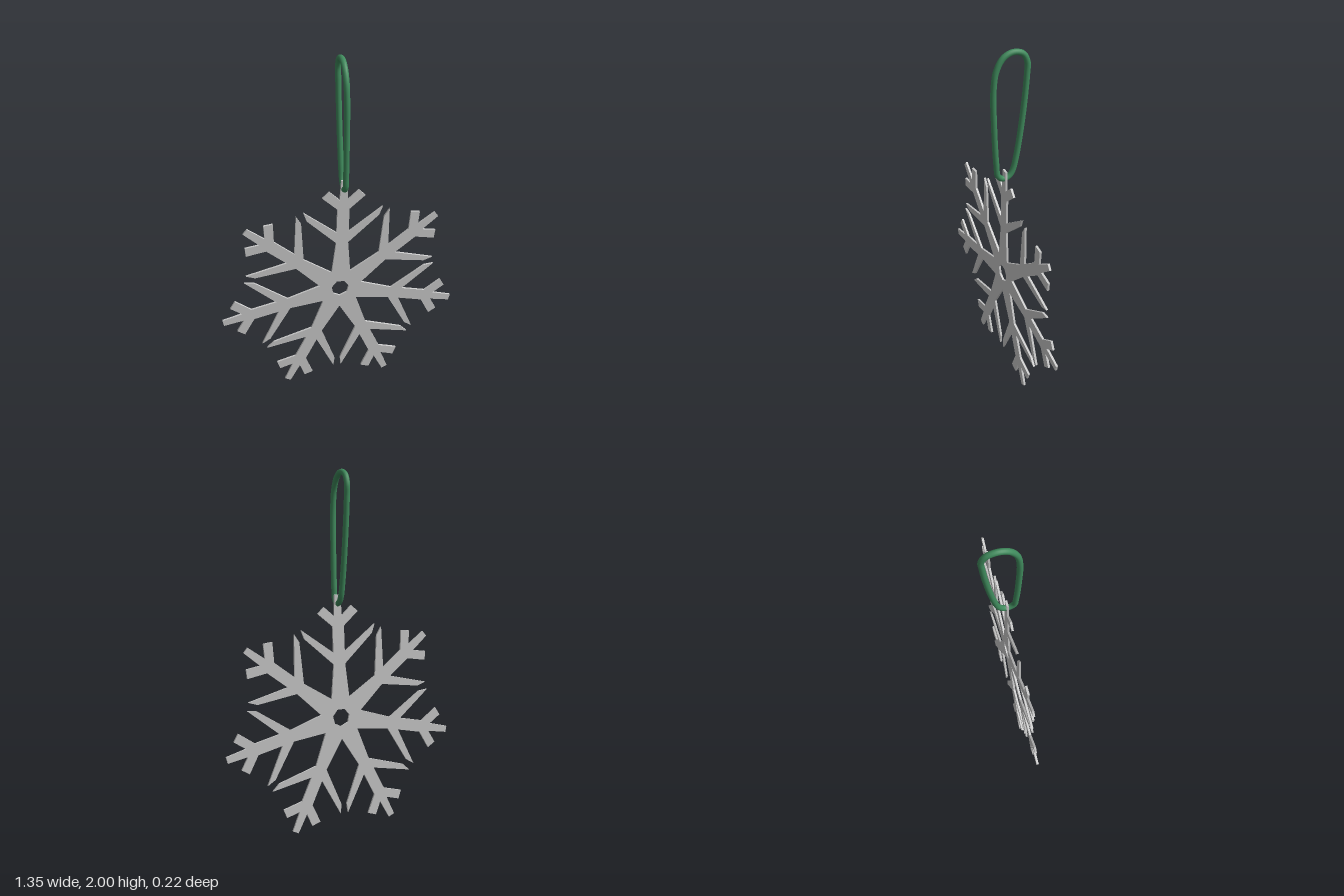
import * as THREE from 'three';

const ARMS = 7;
const STEP = (Math.PI * 2) / ARMS;
const TOP_ANGLE = THREE.MathUtils.degToRad(88);
const THICKNESS = 0.012;

// Half outline of one arm, from its inner corner to its tip: [along, across]
const HALF_ARM = [
  [0.111, 0.053], [0.303, 0.034],                  // tapered shaft
  [0.46, 0.203], [0.511, 0.221], [0.37, 0.034],    // long side spike
  [0.515, 0.034], [0.59, 0.119], [0.626, 0.082],   // short fork prong
  [0.572, 0.023], [0.688, 0.018],                  // centre prong
];

function snowflake(material) {
  const points = [];
  for (let i = 0; i < ARMS; i++) {
    const a = TOP_ANGLE + i * STEP;
    const add = (u, v) => points.push(new THREE.Vector2(
      u * Math.cos(a) - v * Math.sin(a),
      u * Math.sin(a) + v * Math.cos(a)));
    // up one side of the arm, back down the other; inner corners are shared
    HALF_ARM.forEach(([u, v], k) => { if (k > 0) add(u, -v); });
    [...HALF_ARM].reverse().forEach(([u, v]) => add(u, v));
  }
  const shape = new THREE.Shape(points);

  // Seven-sided centre hole with corners between the arms
  const hole = [];
  for (let i = 0; i < ARMS; i++) {
    const a = TOP_ANGLE - (i + 0.5) * STEP;
    hole.push(new THREE.Vector2(0.051 * Math.cos(a), 0.051 * Math.sin(a)));
  }
  shape.holes.push(new THREE.Path(hole));

  const geometry = new THREE.ExtrudeGeometry(shape, { depth: THICKNESS, bevelEnabled: false });
  geometry.translate(0, 0, -THICKNESS / 2);
  const mesh = new THREE.Mesh(geometry, material);
  mesh.name = 'snowflake';
  mesh.position.set(0, 0.638, 0.035);
  return mesh;
}

function hangingLoop(material) {
  // Closed cord path: [z, y]
  const path = [
    [0.045, 1.277], [0.074, 1.3], [0.083, 1.37], [0.094, 1.6], [0.095, 1.8],
    [0.079, 1.9], [0.04, 1.963], [-0.012, 1.984], [-0.066, 1.968], [-0.091, 1.92],
    [-0.089, 1.85], [-0.066, 1.62], [-0.032, 1.4], [-0.01, 1.315], [0.013, 1.285],
  ].map(([z, y]) => new THREE.Vector3(0.02, y, z));
  const curve = new THREE.CatmullRomCurve3(path, true);
  const mesh = new THREE.Mesh(new THREE.TubeGeometry(curve, 120, 0.016, 14, true), material);
  mesh.name = 'hangingLoop';
  return mesh;
}

export function createModel() {
  const group = new THREE.Group();
  group.name = 'snowflakeOrnament';
  group.add(
    snowflake(new THREE.MeshStandardMaterial({ color: 0xcccccc })),
    hangingLoop(new THREE.MeshStandardMaterial({ color: 0x3f8a5c })),
  );
  return group;
}
